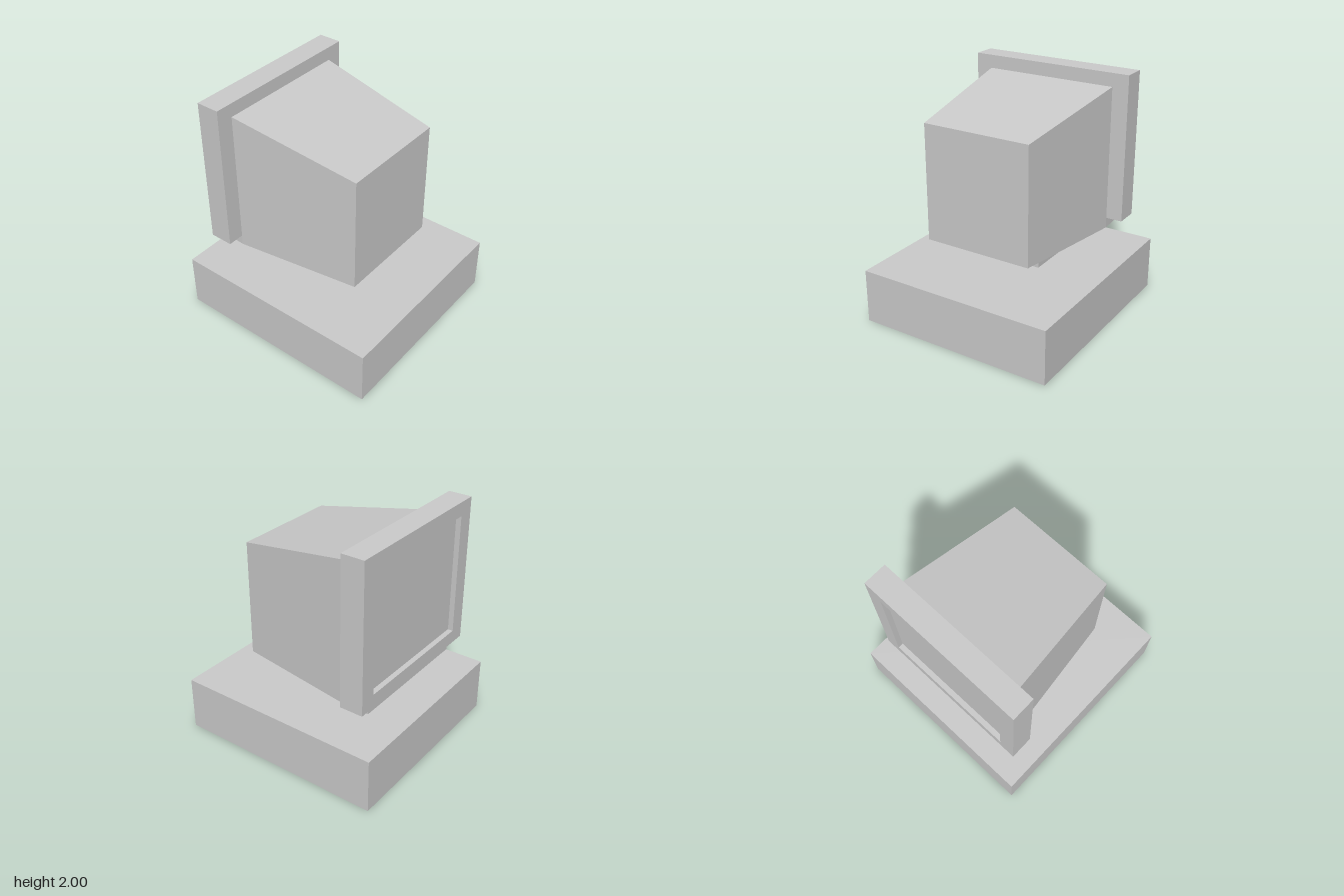
import * as THREE from 'three';

const material = new THREE.MeshStandardMaterial({ color: 0xcccccc, flatShading: true });

function addMesh(group, name, geometry) {
  const mesh = new THREE.Mesh(geometry, material);
  mesh.name = name;
  group.add(mesh);
}

// Box given by half width and its y and z ranges
function block(halfWidth, y0, y1, z0, z1) {
  return new THREE.BoxGeometry(halfWidth * 2, y1 - y0, z1 - z0)
    .translate(0, (y0 + y1) / 2, (z0 + z1) / 2);
}

// Closed loft through rectangular sections [z, halfWidth, bottom, top], ordered from +z to -z
function loft(sections) {
  const corners = sections.map(([z, w, b, t]) => [[-w, b, z], [w, b, z], [w, t, z], [-w, t, z]]);
  const positions = [];
  const quad = (a, b, c, d) => positions.push(...a, ...b, ...c, ...a, ...c, ...d);
  for (let i = 0; i < corners.length - 1; i++) {
    const near = corners[i], far = corners[i + 1];
    for (let j = 0; j < 4; j++) {
      const k = (j + 1) % 4;
      quad(near[j], far[j], far[k], near[k]);
    }
  }
  quad(...corners[0]);
  quad(...[...corners[corners.length - 1]].reverse());
  const geometry = new THREE.BufferGeometry();
  geometry.setAttribute('position', new THREE.Float32BufferAttribute(positions, 3));
  geometry.computeVertexNormals();
  return geometry;
}

function rectangle(path, w, y0, y1) {
  return path.moveTo(-w, y0).lineTo(w, y0).lineTo(w, y1).lineTo(-w, y1).closePath();
}

export function createModel() {
  const model = new THREE.Group();
  model.name = 'desktopComputer';

  // Flat case with the swivel stand on top
  addMesh(model, 'computerCase', block(0.855, 0, 0.465, -0.91, 0.91));
  addMesh(model, 'standPlate', block(0.305, 0.465, 0.53, -0.55, 0.1));
  addMesh(model, 'standNeck', block(0.108, 0.53, 0.667, -0.34, -0.11));

  // Tapered tube housing; its far end is the recessed screen
  addMesh(model, 'monitorHousing', loft([
    [0.54, 0.475, 0.7, 1.695],
    [-0.555, 0.585, 0.645, 1.885],
    [-0.71, 0.585, 0.655, 1.885],
  ]));

  // Bezel frame around the screen
  const frame = rectangle(new THREE.Shape(), 0.727, 0.735, 2);
  frame.holes.push(rectangle(new THREE.Path(), 0.585, 0.85, 1.88));
  addMesh(model, 'screenBezel',
    new THREE.ExtrudeGeometry(frame, { depth: 0.2, bevelEnabled: false }).translate(0, 0, -0.755));

  return model;
}
